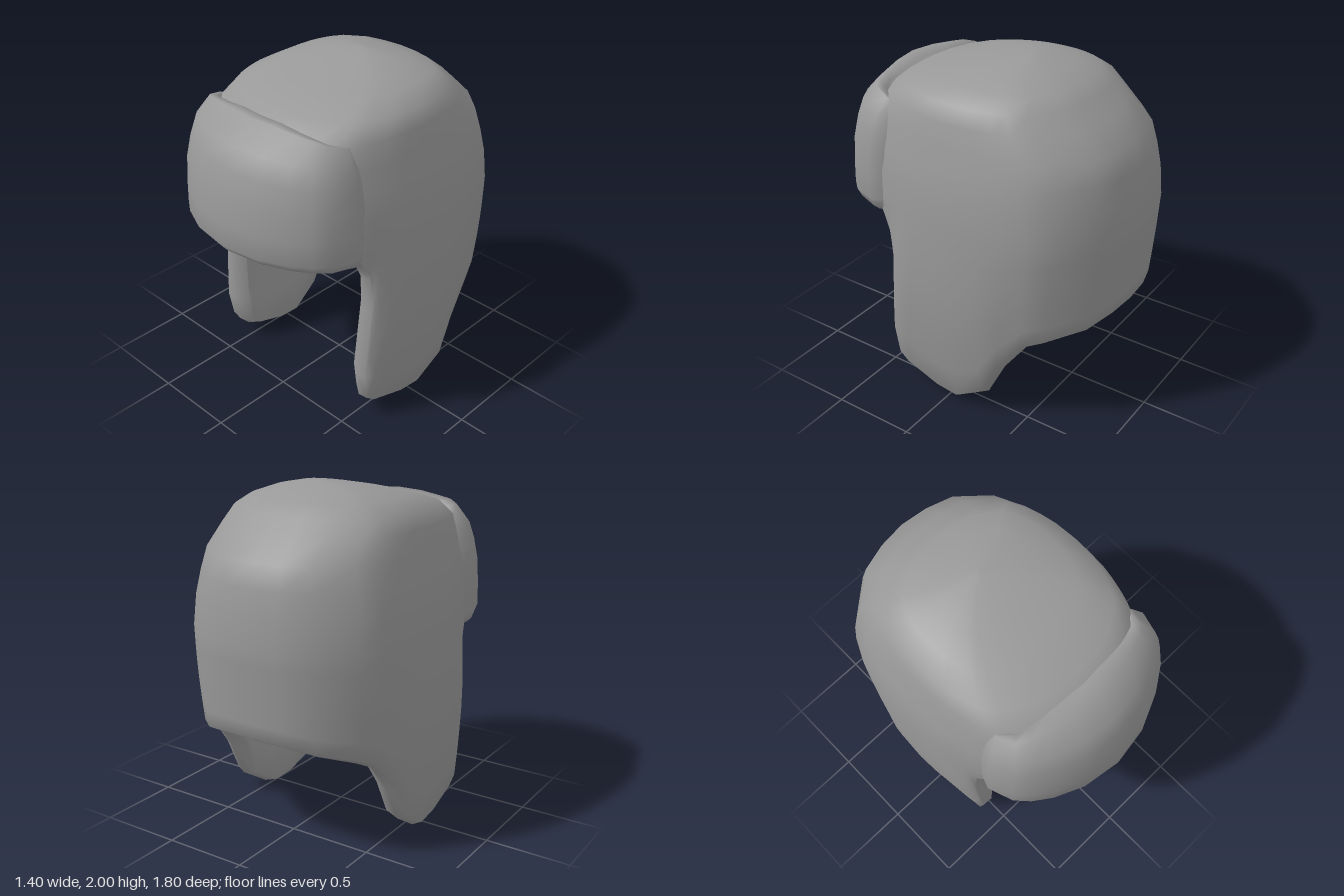
import * as THREE from 'three';

const V = (x, y, z) => new THREE.Vector3(x, y, z);
const material = new THREE.MeshStandardMaterial({ color: 0x999999, side: THREE.DoubleSide });

// Skin a grid of points (rows of equal length) with smooth normals
function skin(rows, closed) {
  const n = rows[0].length, pos = [], index = [];
  rows.forEach(row => row.forEach(p => pos.push(p.x, p.y, p.z)));
  for (let r = 0; r < rows.length - 1; r++) {
    for (let c = 0; c < (closed ? n : n - 1); c++) {
      const d = (c + 1) % n;
      const a = r * n + c, b = r * n + d, e = a + n, f = b + n;
      index.push(a, b, f, a, f, e);
    }
  }
  const g = new THREE.BufferGeometry();
  g.setAttribute('position', new THREE.Float32BufferAttribute(pos, 3));
  g.setIndex(index);
  g.computeVertexNormals();
  return g;
}

// Half outline, front to back: head band [x, z], lower edge [x, y, z]
const columns = [
  [0, 0.72, 0, 1.12, 0.72], [0.2, 0.70, 0.2, 1.12, 0.70], [0.38, 0.64, 0.38, 1.12, 0.64],
  [0.52, 0.54, 0.52, 1.12, 0.54], [0.58, 0.47, 0.575, 1.10, 0.46], [0.61, 0.41, 0.59, 1.0, 0.41],
  [0.635, 0.34, 0.59, 0.78, 0.395], [0.655, 0.27, 0.575, 0.33, 0.435], [0.672, 0.2, 0.58, 0.15, 0.40],
  [0.687, 0.12, 0.585, 0.08, 0.33], [0.695, 0, 0.60, 0.01, 0.09], [0.70, -0.12, 0.605, 0, -0.07],
  [0.69, -0.28, 0.62, 0.13, -0.27], [0.665, -0.42, 0.61, 0.35, -0.38], [0.63, -0.54, 0.585, 0.53, -0.52],
  [0.565, -0.67, 0.54, 0.58, -0.63],
  [0.37, -0.83, 0.36, 0.63, -0.79], [0.19, -0.88, 0.18, 0.66, -0.845], [0, -0.9, 0, 0.665, -0.86],
];
// Crown rows: y, half width, front z, back z
const crown = [
  [1.2, 0.69, 0.72, -0.9], [1.38, 0.675, 0.74, -0.885], [1.52, 0.645, 0.74, -0.86],
  [1.65, 0.61, 0.72, -0.825], [1.77, 0.58, 0.66, -0.69], [1.86, 0.54, 0.51, -0.585],
  [1.92, 0.43, 0.28, -0.51], [1.96, 0.31, 0.10, -0.38], [1.99, 0.16, -0.06, -0.27],
];
const ROUND = 0.03, LOWER = 6, CENTRE = -0.1;

// Outward direction of a rounded-box head shape
const outwardAt = p => V((p.x / 0.7) ** 3, Math.max(0, (p.y - 1.1) / 0.9) ** 3, ((p.z - CENTRE) / 0.8) ** 3).normalize();

function capShell() {
  const mirrored = columns.slice(1, -1).reverse().map(([x, z, rx, ry, rz]) => [-x, z, -rx, ry, rz]);
  const all = columns.concat(mirrored), n = all.length;
  const edge = all.map(c => V(c[2], c[3], c[4]));
  // Direction in which the lower edge points, used to round it
  const edgeDir = edge.map((p, i) => edge[(i + 1) % n].clone().sub(edge[(i + n - 1) % n])
    .cross(outwardAt(p).setY(0)).normalize());

  const bands = crown.map(([y, hw, zf, zb]) => all.map(([x, z]) => {
    const c = (zf + zb) / 2 * 0.9 + CENTRE * 0.1;
    const reach = z > CENTRE ? (zf - c) / (0.72 - CENTRE) : (zb - c) / (-0.9 - CENTRE);
    return V(x * hw / 0.7, y, c + (z - CENTRE) * reach);
  }));
  // Rows from the lower edge up to the head band, bulging over the ear flaps
  const lower = [];
  for (let r = 0; r < LOWER; r++) {
    const s = r / LOWER;
    lower.push(edge.map((p, i) => {
      const q = p.clone().addScaledVector(edgeDir[i], -ROUND).lerp(bands[0][i], s);
      q.x += Math.sign(p.x) * 0.035 * Math.sin(Math.PI * s) * (1.12 - p.y) ** 2;
      return q;
    }));
  }
  const outer = lower.concat(bands);
  // The lining is thicker down in the ear flaps
  const inner = outer.map(row => row.map(p => p.clone().addScaledVector(outwardAt(p),
    -0.11 - 0.05 * THREE.MathUtils.clamp(1 - p.y, 0, 0.7))));
  const rim = edge.map((p, i) => inner[0][i].clone().sub(outer[0][i]).multiplyScalar(0.4).add(p));
  const pole = y => all.map(() => V(0, y, -0.19));
  return skin([pole(1.89), ...inner.reverse(), rim, ...outer, pole(2)], true);
}

// Turned-up front flap: plan [x, z, depth factor, drop of the top edge, taper to the top]
function frontFlap() {
  const plan = [[0, 0.9, 1, 0, 0], [0.23, 0.865, 0.98, 0.005, 0], [0.4, 0.79, 0.85, 0.02, 0],
    [0.5, 0.72, 0.72, 0.03, 0], [0.57, 0.645, 0.6, 0.05, 0.01], [0.62, 0.5, 0.42, 0.08, 0.04],
    [0.59, 0.42, 0.3, 0.1, 0.06], [0.53, 0.34, 0.2, 0.12, 0.06]];
  // Section rows: inset, y
  const section = [[0.3, 1.16], [0.22, 1.12], [0.11, 1.12], [0.04, 1.145], [0.0, 1.195], [0.005, 1.33],
    [0.02, 1.49], [0.06, 1.63], [0.11, 1.74], [0.24, 1.86], [0.32, 1.845], [0.42, 1.76]];
  const all = plan.slice(1).reverse().map(([x, ...rest]) => [-x, ...rest]).concat(plan);
  return skin(section.map(([inset, y]) => all.map(([x, z, k, drop, taper]) => {
    const dir = V(x, 0, z - 0.1).normalize();
    const top = Math.max(0, (y - 1.4) / 0.46);
    return V(x - Math.sign(x) * taper * top * top, y - drop * top, z).addScaledVector(dir, -inset * k);
  })), false);
}

export function createModel() {
  const group = new THREE.Group();
  group.name = 'earFlapHat';
  for (const [name, geometry] of [['capWithEarFlaps', capShell()], ['frontFlap', frontFlap()]]) {
    const mesh = new THREE.Mesh(geometry, material);
    mesh.name = name;
    group.add(mesh);
  }
  return group;
}
